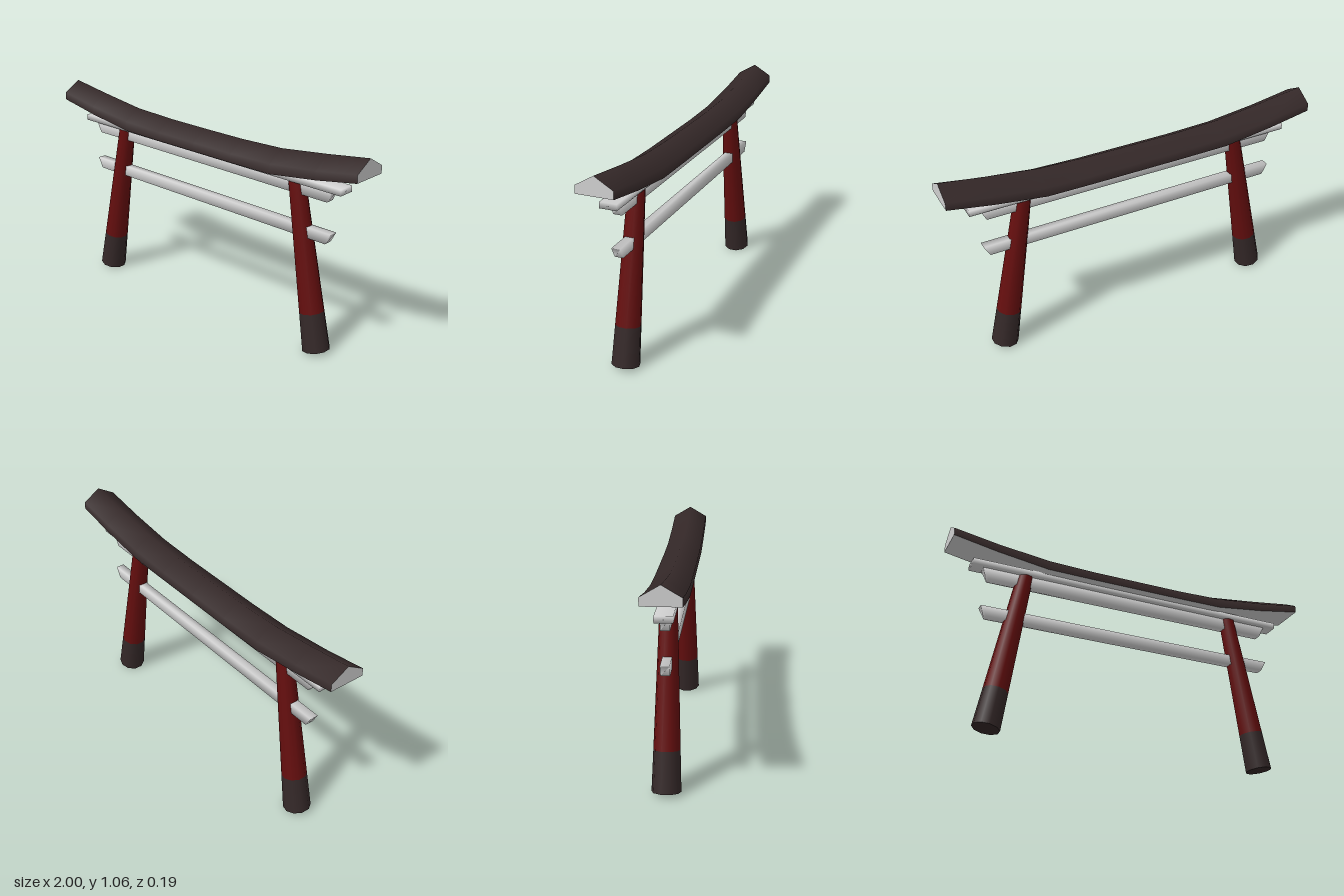
import * as THREE from 'three';
import { mergeVertices } from 'three/addons/utils/BufferGeometryUtils.js';

const mat = (name, color) => new THREE.MeshStandardMaterial({ name, color });

function addMesh(group, name, geometry, material) {
  const mesh = new THREE.Mesh(geometry, material);
  mesh.name = name;
  group.add(mesh);
  return mesh;
}

function buildGeometry(points, index) {
  const geo = new THREE.BufferGeometry();
  geo.setAttribute('position', new THREE.Float32BufferAttribute(points.flat(), 3));
  geo.setIndex(index);
  geo.computeVertexNormals();
  return geo;
}

// Skin a row of open cross-sections, each a list of [x, y, z]
function loft(sections) {
  const n = sections[0].length, index = [];
  for (let i = 0; i < sections.length - 1; i++) {
    for (let j = 0; j < n - 1; j++) {
      const a = i * n + j, b = a + n;
      index.push(a, b, b + 1, a, b + 1, a + 1);
    }
  }
  return buildGeometry(sections.flat(), index);
}

// Box beam whose top is longer than its bottom, with softened normals
function beam(topHalf, bottomHalf, y0, y1, depth) {
  let geo = new THREE.BoxGeometry(2, y1 - y0, depth);
  const p = geo.attributes.position;
  for (let i = 0; i < p.count; i++) {
    p.setX(i, Math.sign(p.getX(i)) * (p.getY(i) > 0 ? topHalf : bottomHalf));
  }
  geo.deleteAttribute('normal');
  geo.deleteAttribute('uv');
  geo = mergeVertices(geo);
  geo.translate(0, (y0 + y1) / 2, 0);
  geo.computeVertexNormals();
  return geo;
}

export function createModel() {
  const model = new THREE.Group();
  model.name = 'gate';
  const red = mat('deep red', 0x640e0e);
  const dark = mat('dark brown', 0x342828);
  const pale = mat('pale grey', 0xd0d0d0);

  // Upswept roof: half-profile as x, bottom, eave and ridge heights
  const half = [
    [0, 0.89, 0.935, 0.988], [0.25, 0.89, 0.935, 0.989], [0.5, 0.892, 0.942, 0.998],
    [0.77, 0.929, 0.973, 1.032], [1, 0.97, 1.01, 1.065],
  ];
  const mirrored = half.slice(1).reverse().map(([x, ...h]) => [-x, ...h]);
  const w = 0.093;
  const rings = [...mirrored, ...half].map(([x, b, e, r]) => [
    [x, b, w], [x, e, w], [x, r, 0], [x, e, -w], [x, b, -w],
  ]);
  const roof = new THREE.Group();
  roof.name = 'roof';
  model.add(roof);
  addMesh(roof, 'roofCover', loft(rings), dark);
  addMesh(roof, 'roofUnderside', loft(rings.map((r) => [r[4], r[0]])), pale);
  const fan = [0, 1, 2, 0, 2, 3, 0, 3, 4];
  addMesh(roof, 'rightRoofEnd', buildGeometry(rings[0], fan), pale);
  addMesh(roof, 'leftRoofEnd', buildGeometry(rings[rings.length - 1], [...fan].reverse()), pale);

  // Cross beams
  addMesh(model, 'capBeam', beam(0.88, 0.88, 0.865, 0.896, 0.086), pale);
  addMesh(model, 'upperBeam', beam(0.82, 0.79, 0.806, 0.866, 0.044), pale);
  addMesh(model, 'tieBeam', beam(0.82, 0.79, 0.596, 0.651, 0.044), pale);

  // Leaning, tapered pillars with dark feet
  const foot = new THREE.Vector3(0.75, 0.015, 0);
  const head = new THREE.Vector3(0.593, 0.872, 0);
  const axis = head.clone().sub(foot);
  const length = axis.length(), split = 0.2;
  const radius = (t) => THREE.MathUtils.lerp(0.07, 0.042, t / length);
  for (const side of [1, -1]) {
    const pillar = new THREE.Group();
    pillar.name = side > 0 ? 'leftPillar' : 'rightPillar';
    pillar.position.set(side * foot.x, foot.y, 0);
    pillar.rotation.z = side * Math.atan2(-axis.x, axis.y);
    const section = (name, from, to, material) => {
      const geo = new THREE.CylinderGeometry(radius(to), radius(from), to - from, 10);
      addMesh(pillar, name, geo.translate(0, (from + to) / 2, 0), material);
    };
    section('pillarFoot', 0, split, dark);
    section('pillarShaft', split, length, red);
    model.add(pillar);
  }
  return model;
}
